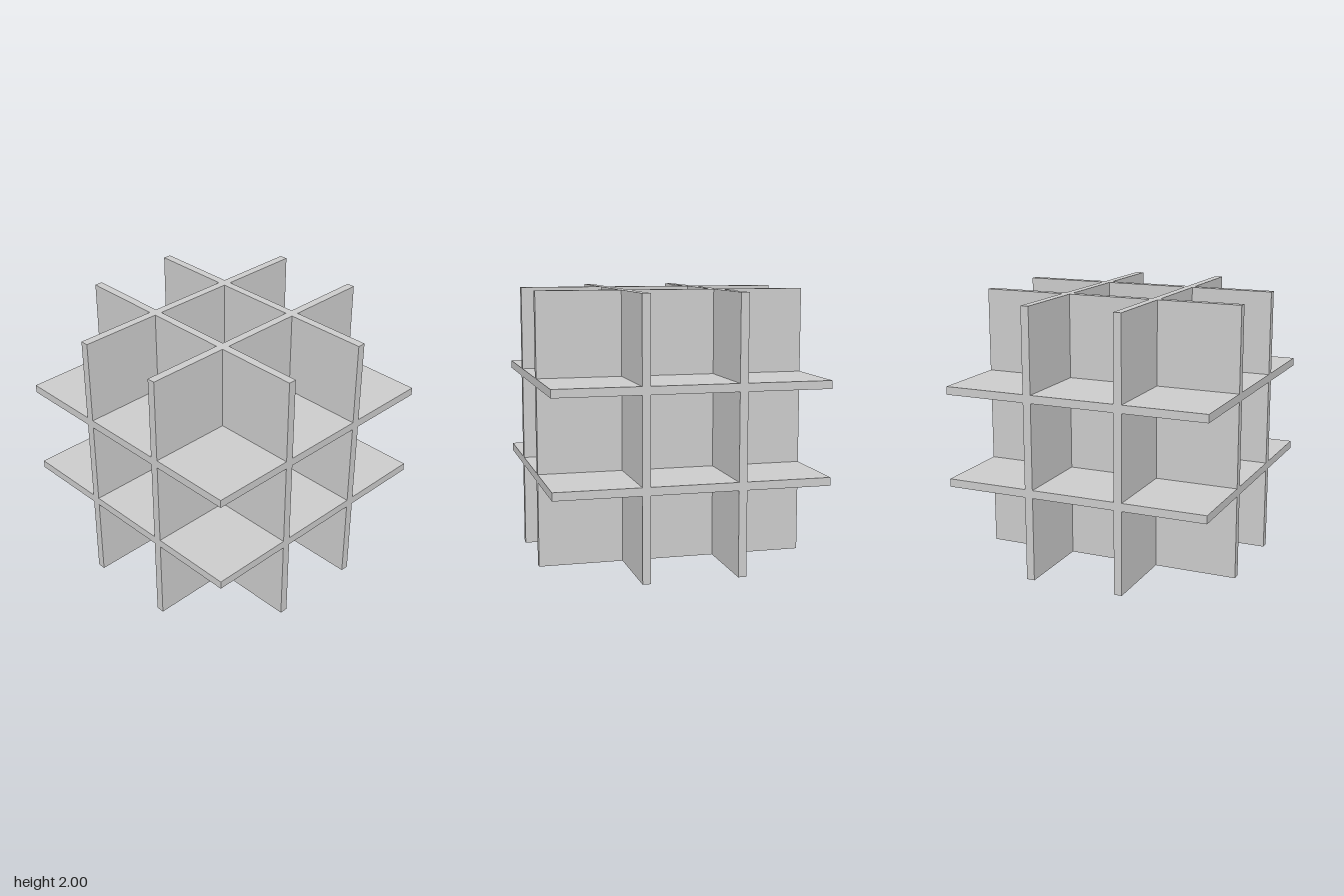
import * as THREE from 'three';

const SIZE = 2;          // edge length of each square panel
const THICKNESS = 0.06;
const OFFSET = 0.347;    // distance of each panel from the middle

export function createModel() {
  const model = new THREE.Group();
  model.name = 'interlockingPanelLattice';
  const material = new THREE.MeshStandardMaterial({ color: 0xcccccc });

  // A pair of square panels across each axis, all crossing one another
  const pairs = [
    { axis: 'x', names: ['rightPanel', 'leftPanel'] },
    { axis: 'y', names: ['lowerShelf', 'upperShelf'] },
    { axis: 'z', names: ['backPanel', 'frontPanel'] },
  ];

  for (const { axis, names } of pairs) {
    const size = new THREE.Vector3(SIZE, SIZE, SIZE);
    size[axis] = THICKNESS;
    const geometry = new THREE.BoxGeometry(size.x, size.y, size.z);

    names.forEach((name, i) => {
      const panel = new THREE.Mesh(geometry, material);
      panel.name = name;
      panel.position.y = SIZE / 2;
      panel.position[axis] += i === 0 ? -OFFSET : OFFSET;
      model.add(panel);
    });
  }

  return model;
}
